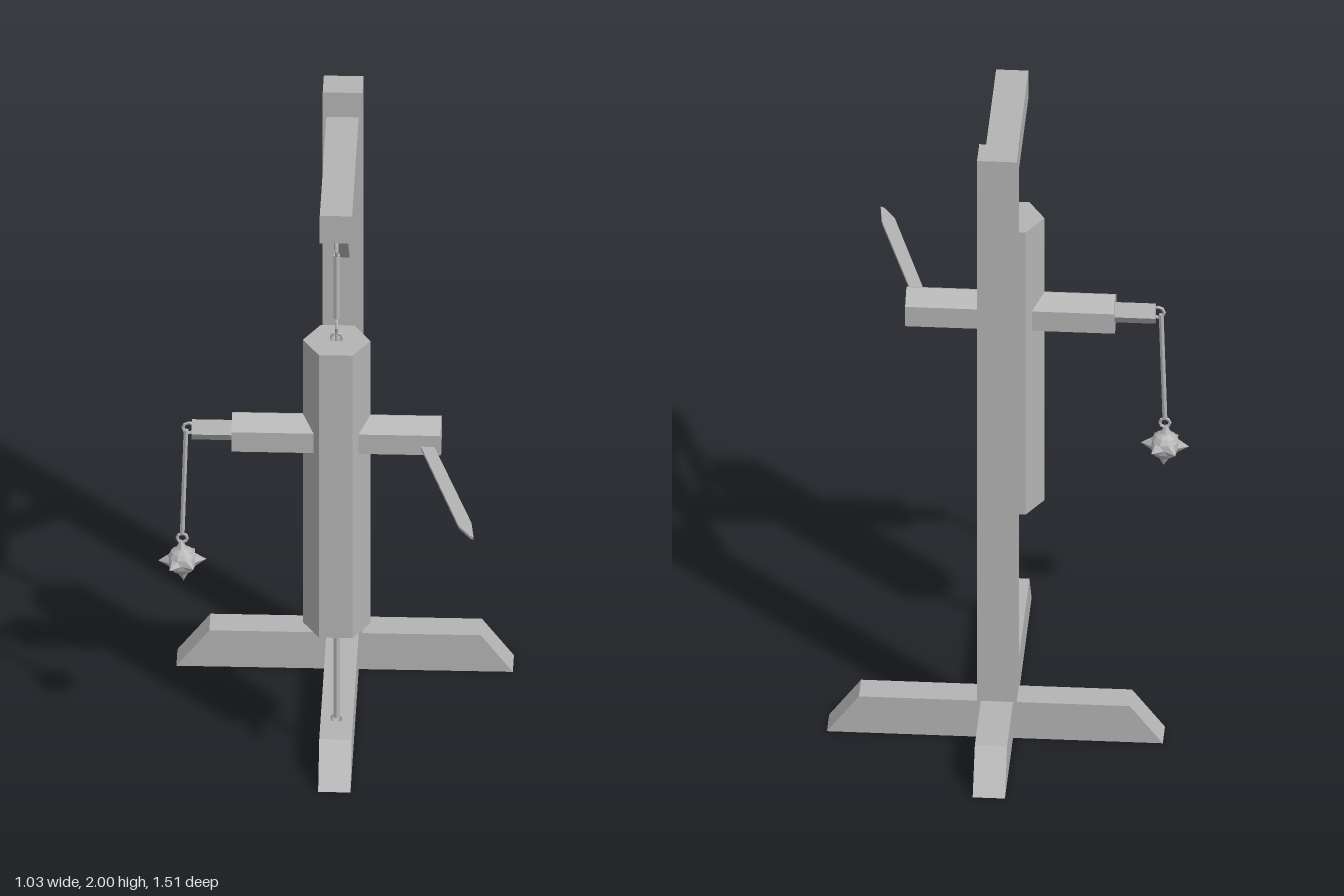
import * as THREE from 'three';

const CX = 0.01, CZ = 0.183; // dummy axis

export function createModel() {
  const group = new THREE.Group();
  const grey = new THREE.MeshStandardMaterial({ color: 0xb4b4b4, flatShading: true });
  grey.name = 'plain grey';

  const add = (name, geo, x = 0, y = 0, z = 0) => {
    const mesh = new THREE.Mesh(geo, grey);
    mesh.name = name;
    mesh.position.set(x, y, z);
    group.add(mesh);
    return mesh;
  };
  // Flat outline extruded evenly to both sides of z = 0
  const slab = (points, depth) => {
    const shape = new THREE.Shape(points.map(([a, b]) => new THREE.Vector2(a, b)));
    return new THREE.ExtrudeGeometry(shape, { depth, bevelEnabled: false }).translate(0, 0, -depth / 2);
  };
  // Straight rod between two points
  const rod = (name, a, b, r, sides = 6) => {
    const from = new THREE.Vector3(...a), dir = new THREE.Vector3(...b).sub(from);
    const mesh = add(name, new THREE.CylinderGeometry(r, r, dir.length(), sides));
    mesh.position.copy(from).addScaledVector(dir, 0.5);
    mesh.quaternion.setFromUnitVectors(new THREE.Vector3(0, 1, 0), dir.normalize());
    return mesh;
  };
  const ring = (name, x, y, z, r, turn = 0) => {
    const mesh = add(name, new THREE.TorusGeometry(r, 0.005, 5, 8), x, y, z);
    mesh.rotation.y = turn;
    return mesh;
  };

  // Crossed feet with sloping ends
  add('sideFoot', slab([[-0.483, 0], [0.515, 0], [0.42, 0.125], [-0.385, 0.125]], 0.095), 0, 0, -0.365);
  const longFoot = add('longFoot', slab([[-0.386, 0], [0.758, 0], [0.665, 0.125], [-0.29, 0.125]], 0.096), CX);
  longFoot.rotation.y = Math.PI / 2;

  // Post, overhead beam and diagonal brace
  add('post', new THREE.BoxGeometry(0.118, 2, 0.096), CX, 1, -0.365);
  add('beam', new THREE.BoxGeometry(0.096, 0.095, 0.58), CX, 1.868, -0.042);
  const brace = add('brace', slab([[-0.075, 1.82], [0.315, 1.43], [0.315, 1.545], [0.04, 1.82]], 0.042), CX);
  brace.rotation.y = Math.PI / 2;

  // Hexagonal body, with corners to the left and right
  add('body', new THREE.CylinderGeometry(0.1, 0.1, 0.98, 6).rotateY(Math.PI / 2), CX, 0.955, CZ)
    .rotation.y = Math.PI;

  // Hexagonal crossbar, with corners up and down, and a thin grip
  const alongX = (r, length, turn) =>
    new THREE.CylinderGeometry(r, r, length, 6).rotateY(turn).rotateZ(Math.PI / 2);
  add('crossbar', alongX(0.067, 0.62, Math.PI / 2), CX, 1.121, CZ);
  add('grip', alongX(0.03, 0.13, 0), -0.355, 1.127, CZ);

  // Upper hanger: staples, rings and link
  for (const y of [1.81, 1.455]) ring('staple', CX, y, CZ, 0.016);
  for (const y of [1.765, 1.5]) ring('hangerRing', CX, y, CZ, 0.023, Math.PI / 2);
  for (const y of [1.803, 1.462]) rod('hangerNeck', [CX, y - 0.018, CZ], [CX, y + 0.018, CZ], 0.006);
  rod('hangerLink', [CX, 1.523, CZ], [CX, 1.742, CZ], 0.011);

  // Lower tether down to the long foot
  rod('tether', [CX, 0.14, CZ], [CX, 0.465, CZ], 0.011);
  for (const y of [0.135, 0.455]) ring('tetherStaple', CX, y, CZ, 0.014);

  // Flail: loop, cord and spiked ball
  const fx = -0.448, by = 0.674;
  ring('gripLoop', -0.428, 1.132, CZ, 0.018);
  rod('cord', [-0.437, 1.125, CZ], [fx, 0.765, CZ], 0.008);
  ring('ballLoop', fx, 0.75, CZ, 0.015);
  const flail = new THREE.Group();
  flail.name = 'flailHead';
  flail.position.set(fx, by, CZ);
  flail.rotation.z = 0.06;
  const ball = new THREE.Mesh(new THREE.SphereGeometry(0.045, 10, 8), grey);
  ball.name = 'ball';
  flail.add(ball);
  const directions = [[0, 1, 0], [0, -1, 0]];
  for (let i = 0; i < 6; i++) {
    const a = i * Math.PI / 3;
    directions.push([Math.cos(a), 0, Math.sin(a)]);
  }
  for (const d of directions) {
    const spike = new THREE.Mesh(new THREE.ConeGeometry(0.025, 0.044, 6), grey);
    const dir = new THREE.Vector3(...d);
    spike.name = 'spike';
    spike.position.copy(dir).multiplyScalar(0.05);
    spike.quaternion.setFromUnitVectors(new THREE.Vector3(0, 1, 0), dir);
    flail.add(spike);
  }
  group.add(flail);

  // Flat blade reaching forward from the left arm
  const blade = add('blade', slab([[0.25, 0.2], [0.287, 0.19], [0.427, 0.67], [0.436, 0.752],
    [0.425, 0.745], [0.39, 0.69]], 0.009), 0, 1.112, 0);
  // Plan outline is laid flat, keeping its winding
  blade.geometry.scale(1, -1, 1);
  const index = blade.geometry.attributes.position;
  for (let i = 0; i < index.count; i += 3) {
    const a = new THREE.Vector3().fromBufferAttribute(index, i);
    const c = new THREE.Vector3().fromBufferAttribute(index, i + 2);
    index.setXYZ(i, c.x, c.y, c.z);
    index.setXYZ(i + 2, a.x, a.y, a.z);
  }
  blade.geometry.computeVertexNormals();
  blade.rotation.x = -Math.PI / 2;

  return group;
}
